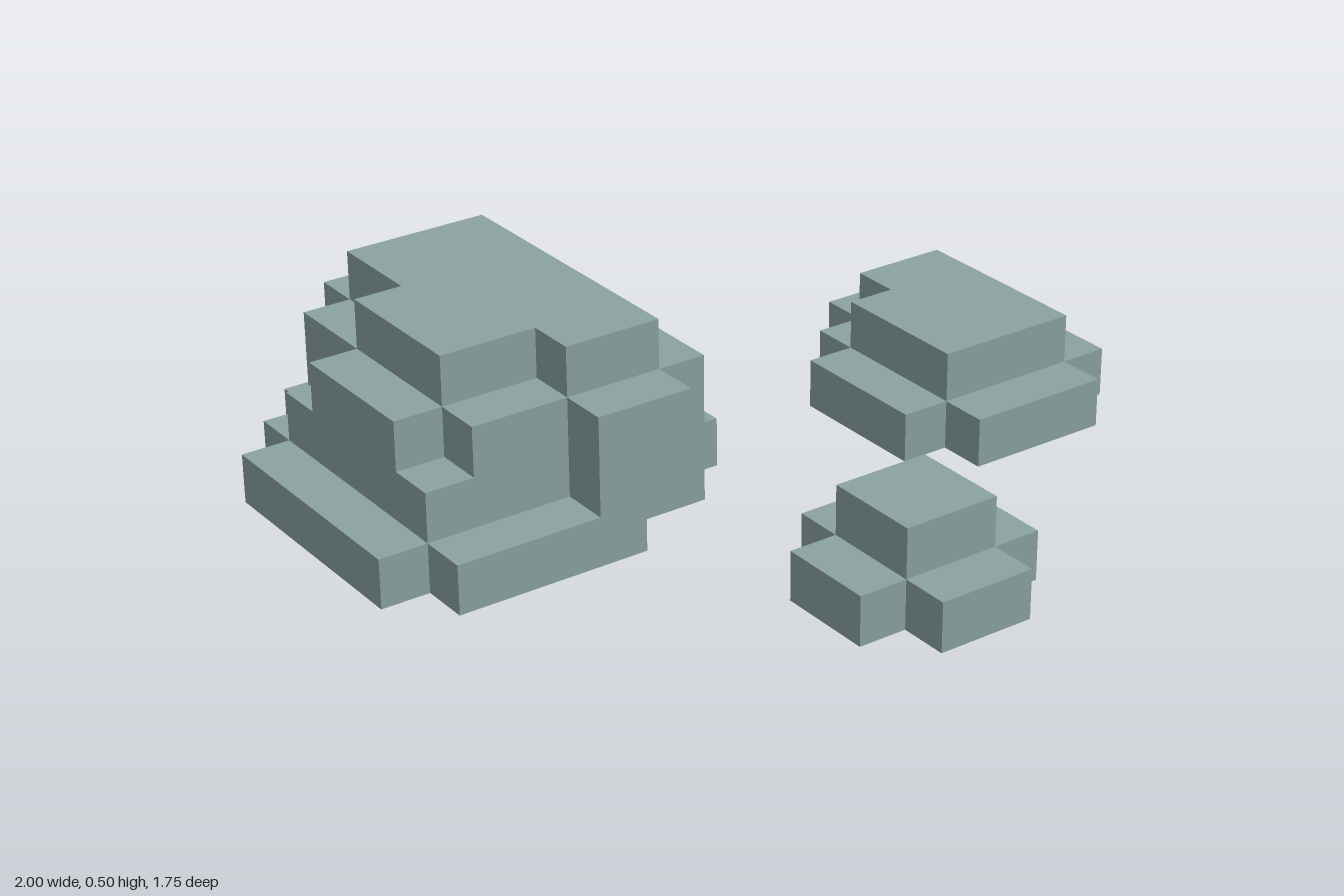
import * as THREE from 'three';

const UNIT = 0.125; // edge of one block

const stone = new THREE.MeshStandardMaterial({ color: 0x8aa3a1 });
stone.name = 'grey green stone';

// One slab, one block high. Rows run back to front: [zBack, zFront, xMin, xMax] in blocks.
function slab(rows, level) {
  const points = [];
  const add = (x, z) => {
    const last = points[points.length - 1];
    if (!last || last.x !== x || last.y !== -z) points.push(new THREE.Vector2(x, -z));
  };
  for (const [z0, z1, , x1] of rows) { add(x1, z0); add(x1, z1); }
  for (const [z0, z1, x0] of [...rows].reverse()) { add(x0, z1); add(x0, z0); }
  const geometry = new THREE.ExtrudeGeometry(new THREE.Shape(points), { depth: 1, bevelEnabled: false });
  geometry.rotateX(-Math.PI / 2);
  geometry.translate(0, level, 0);
  geometry.scale(UNIT, UNIT, UNIT);
  return new THREE.Mesh(geometry, stone);
}

// A rock is a stack of slabs, bottom first.
function rock(name, layers) {
  const group = new THREE.Group();
  group.name = name;
  layers.forEach((rows, level) => {
    const mesh = slab(rows, level);
    mesh.name = `${name}Layer${level + 1}`;
    group.add(mesh);
  });
  return group;
}

export function createModel() {
  const model = new THREE.Group();
  model.name = 'rocks';

  model.add(rock('largeRock', [
    [[-7, -6, -6, -1], [-6, -5, -7, 0], [-5, -1, -8, 0], [-1, 0, -8, -1], [0, 1, -7, -3]],
    [[-7, -6, -5, -2], [-6, -5, -6, -1], [-5, 0, -7, -1], [0, 1, -4, -2]],
    [[-7, -6, -5, -2], [-6, -4, -6, -1], [-4, -1, -7, -1], [-1, 0, -6, -1], [0, 1, -4, -2]],
    [[-6, -4, -5, -2], [-4, -1, -6, -2], [-1, 0, -4, -2]],
  ]));

  model.add(rock('mediumRock', [
    [[-4, -3, 5, 7], [-3, -2, 4, 8], [-2, 1, 3, 8], [1, 2, 4, 7]],
    [[-3, -2, 5, 7], [-2, 1, 4, 7]],
  ]));

  model.add(rock('smallRock', [
    [[3, 4, -1, 1], [4, 6, -2, 2], [6, 7, -1, 1]],
    [[4, 6, -1, 1]],
  ]));

  return model;
}
